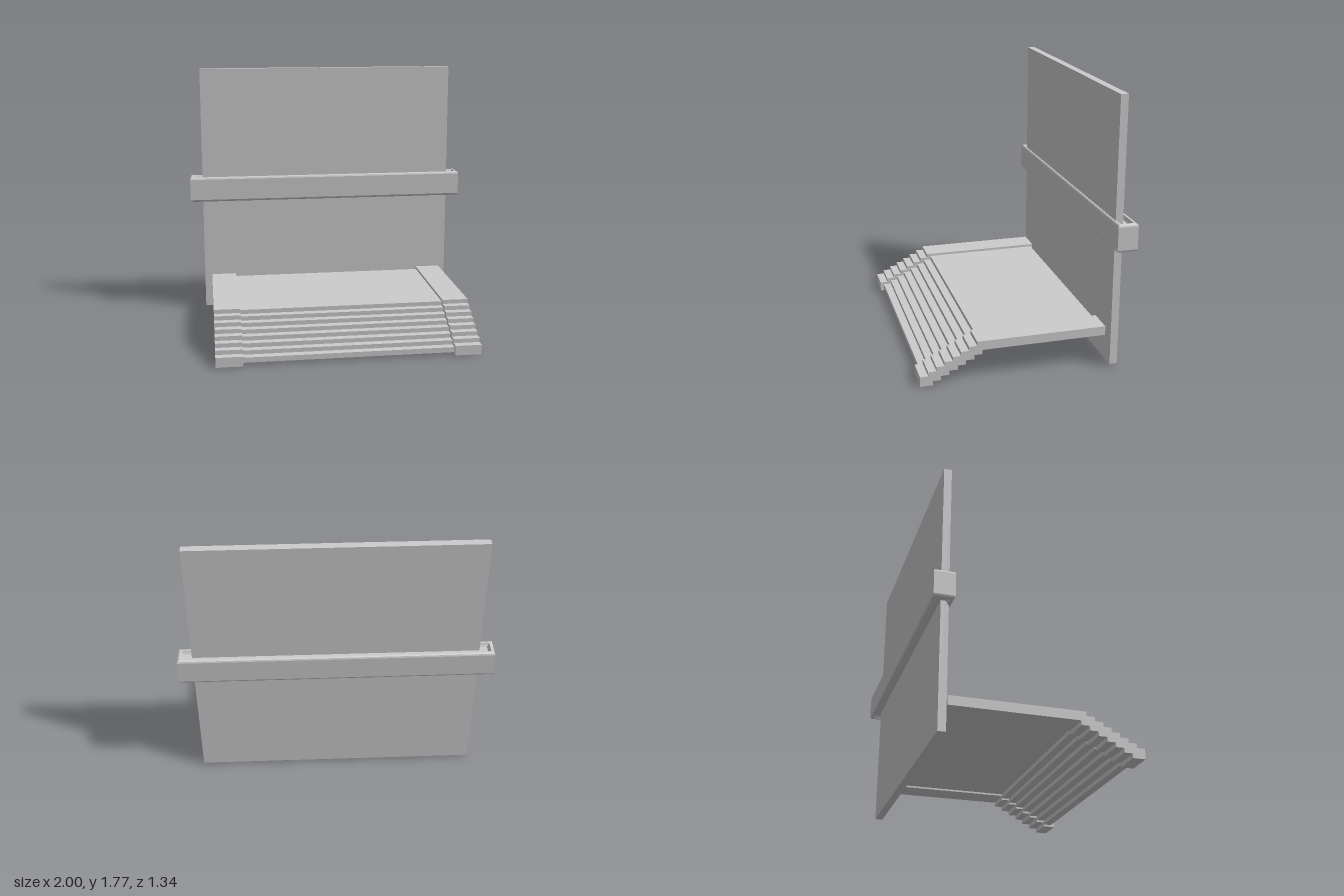
import * as THREE from 'three';

const material = new THREE.MeshStandardMaterial({ color: 0xcccccc, flatShading: true });

function add(group, name, geometry, x = 0, y = 0, z = 0) {
  const mesh = new THREE.Mesh(geometry, material);
  mesh.name = name;
  mesh.position.set(x, y, z);
  group.add(mesh);
}

// Slab that runs flat from the back, then descends in steps above and below
function steppedSlab(width, back, topZ, topY, underZ, underY, floorY) {
  const steps = 7, run = 0.052, rise = 0.0278;
  const points = [[back, underY], [back, topY], [topZ, topY]];
  for (let i = 1; i <= steps; i++) {
    points.push([topZ + (i - 1) * run, topY - i * rise], [topZ + i * run, topY - i * rise]);
  }
  points.push([topZ + steps * run, floorY]);
  const drop = (underY - floorY) / steps, advance = (0.59 - underZ) / (steps - 1);
  for (let i = steps; i >= 1; i--) {
    const z = underZ + (i - 1) * advance;
    points.push([z, underY - i * drop], [z, underY - (i - 1) * drop]);
  }
  const shape = new THREE.Shape(points.map(([z, y]) => new THREE.Vector2(z, y)));
  return new THREE.ExtrudeGeometry(shape, { depth: width, bevelEnabled: false })
    .translate(0, 0, -width / 2)
    .rotateY(-Math.PI / 2);
}

// Rectangular rings [inset, y] from the lower floor, round the outside, to the upper floor
function trayBeam(halfX, halfZ, rings) {
  const vertices = [], index = [];
  for (const [inset, y] of rings) {
    const x = halfX - inset, z = halfZ - inset;
    vertices.push(-x, y, z, x, y, z, x, y, -z, -x, y, -z);
  }
  for (let r = 0; r < rings.length - 1; r++) {
    for (let i = 0; i < 4; i++) {
      const a = r * 4 + i, b = r * 4 + (i + 1) % 4;
      index.push(a, b, b + 4, a, b + 4, a + 4);
    }
  }
  const t = (rings.length - 1) * 4;
  index.push(0, 2, 1, 0, 3, 2, t, t + 1, t + 2, t, t + 2, t + 3);
  const geometry = new THREE.BufferGeometry();
  geometry.setAttribute('position', new THREE.Float32BufferAttribute(vertices, 3));
  geometry.setIndex(index);
  const flat = geometry.toNonIndexed();
  flat.computeVertexNormals();
  return flat;
}

export function createModel() {
  const model = new THREE.Group();
  model.name = 'steppedPlatformWithPanel';

  // Upright panel
  add(model, 'backPanel', new THREE.BoxGeometry(1.82, 1.76, 0.05), 0, 0.895, -0.582);

  // Chamfered crossbeam with a shallow recess above and below
  const upper = [[0, 0.075], [0.004, 0.085], [0.012, 0.09], [0.024, 0.09], [0.03, 0.075], [0.037, 0.065]];
  const lower = upper.map(([inset, y]) => [inset, -y]).reverse();
  add(model, 'crossbeam', trayBeam(1, 0.066, [...lower, ...upper]), 0, 0.9, -0.606);

  // Platform with its flight of steps, slightly inset between the side borders
  add(model, 'platformAndSteps', steppedSlab(1.37, -0.525, 0.28, 0.243, 0.27, 0.212, 0.014));

  // Raised side borders
  for (const side of [1, -1]) {
    add(model, side > 0 ? 'leftBorder' : 'rightBorder',
      steppedSlab(0.175, -0.54, 0.306, 0.26, 0.272, 0.2, 0), side * 0.772);
  }

  return model;
}
